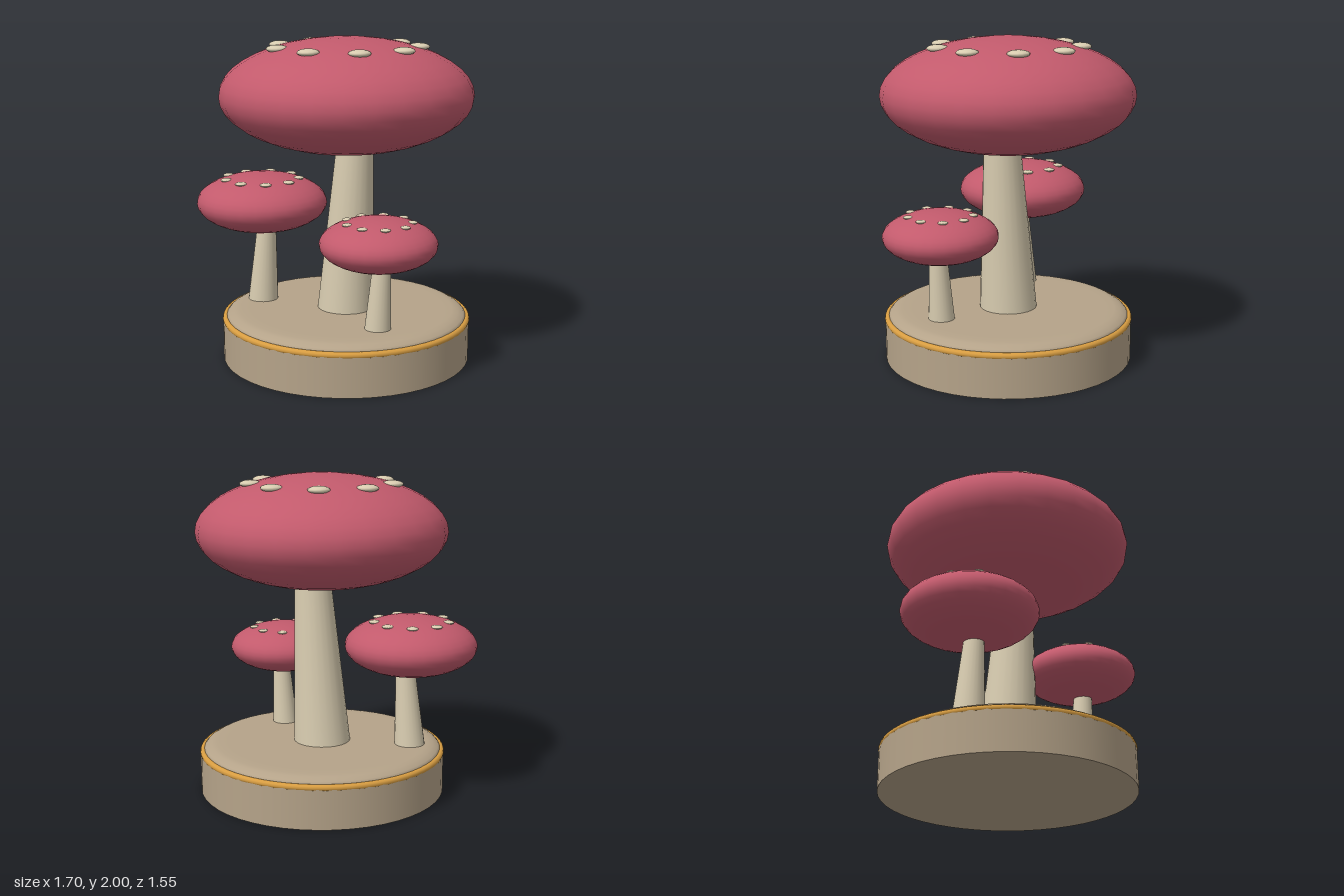
import * as THREE from 'three';

const paint = (name, color) => {
  const m = new THREE.MeshStandardMaterial({ color });
  m.name = name;
  return m;
};

export function createModel() {
  const rose = paint('rose cap', 0xc25a6c);
  const cream = paint('cream stem', 0xd8ccb0);
  const tan = paint('tan base', 0xb5a389);
  const gold = paint('gold trim', 0xd99e42);

  const model = new THREE.Group();
  model.name = 'mushroomCluster';
  const add = (parent, name, geometry, material) => {
    const mesh = new THREE.Mesh(geometry, material);
    mesh.name = name;
    parent.add(mesh);
    return mesh;
  };

  // Round plinth: straight drum, softly rounded top plate and a gold ring
  const base = new THREE.Group();
  base.name = 'base';
  base.position.x = 0.07;
  model.add(base);
  add(base, 'drum', new THREE.CylinderGeometry(0.772, 0.772, 0.255, 48), tan).position.y = 0.1275;
  const plate = [[0.755, 0.24], [0.75, 0.272], [0.737, 0.286], [0.705, 0.303], [0.667, 0.309], [0.6, 0.31], [0, 0.31]];
  add(base, 'topPlate', new THREE.LatheGeometry(plate.map(([x, y]) => new THREE.Vector2(x, y)), 48), tan);
  const ring = add(base, 'goldRing', new THREE.TorusGeometry(0.755, 0.02, 10, 64), gold);
  ring.rotation.x = Math.PI / 2;
  ring.position.y = 0.255;

  // One mushroom: leaning tapered stem, flattened cap, ring of nine spots
  const FLOOR = 0.31;
  function mushroom({ name, x, z, capY, radius, height, foot, neck, lean }) {
    const group = new THREE.Group();
    group.name = name;
    group.position.set(x, 0, z);
    model.add(group);

    // Stem continues a little way into the base and into the cap
    const neckY = capY - height;
    const rise = neckY - FLOOR;
    const y0 = FLOOR - 0.03;
    const y1 = capY - height * 0.5;
    const radiusAt = y => foot + (neck - foot) * (y - FLOOR) / rise;
    const stem = new THREE.CylinderGeometry(radiusAt(y1), radiusAt(y0), y1 - y0, 24);
    stem.translate(0, (y0 + y1) / 2, 0);
    const shear = lean / rise;
    stem.applyMatrix4(new THREE.Matrix4().set(
      1, shear, 0, -shear * FLOOR,
      0, 1, 0, 0,
      0, 0, 1, 0,
      0, 0, 0, 1));
    add(group, 'stem', stem, cream);

    const cap = new THREE.SphereGeometry(1, 28, 20);
    cap.scale(radius, height, radius);
    add(group, 'cap', cap, rose).position.y = capY;

    const k = 0.56;
    const spot = new THREE.SphereGeometry(radius * 0.087, 14, 10);
    spot.scale(1, 0.34, 1);
    for (let i = 0; i < 9; i++) {
      const a = i * Math.PI * 2 / 9;
      add(group, 'spot', spot, cream).position.set(
        Math.cos(a) * radius * k,
        capY + height * Math.sqrt(1 - k * k),
        Math.sin(a) * radius * k);
    }
  }

  mushroom({ name: 'largeMushroom', x: 0.07, z: 0, capY: 1.65, radius: 0.777, height: 0.35, foot: 0.178, neck: 0.116, lean: 0.065 });
  mushroom({ name: 'rightMushroom', x: -0.446, z: 0.214, capY: 0.947, radius: 0.411, height: 0.183, foot: 0.095, neck: 0.062, lean: 0.034 });
  mushroom({ name: 'leftMushroom', x: 0.496, z: 0.212, capY: 0.828, radius: 0.351, height: 0.157, foot: 0.08, neck: 0.057, lean: 0.024 });

  return model;
}
